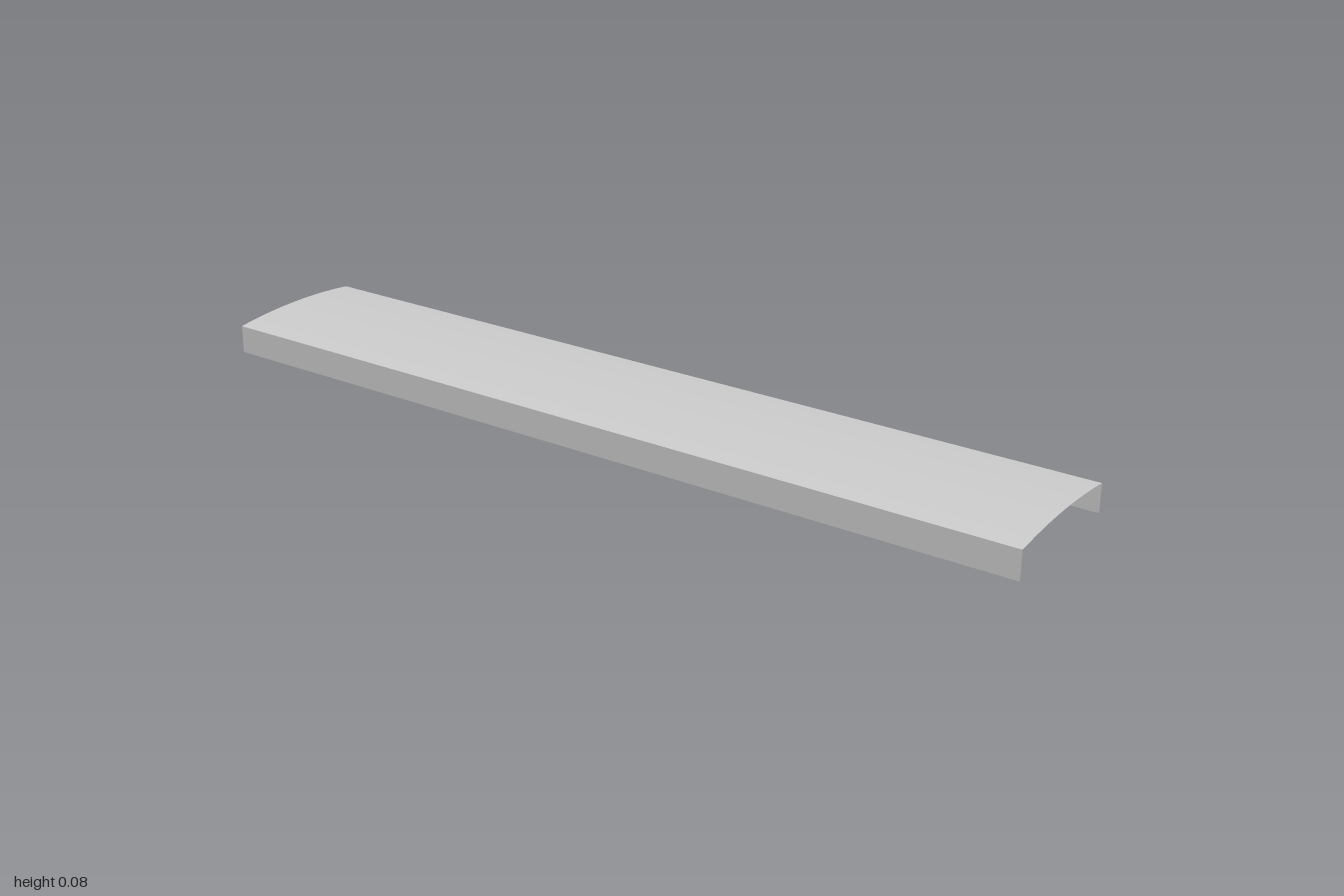
import * as THREE from 'three';

const HALF = 0.177, WALL = 0.065, RISE = 0.011, LENGTH = 2;

export function createModel() {
  const group = new THREE.Group();
  group.name = 'archedChannelCover';
  const material = new THREE.MeshStandardMaterial({ color: 0xcccccc, side: THREE.DoubleSide });

  // Shallow arched top: an open slice of a cylinder running along z
  const radius = (HALF * HALF + RISE * RISE) / (2 * RISE);
  const angle = Math.asin(HALF / radius);
  const arch = new THREE.CylinderGeometry(radius, radius, LENGTH, 16, 1, true, -angle, 2 * angle);
  arch.rotateX(-Math.PI / 2); // the slice's +z middle now points up
  const top = new THREE.Mesh(arch, material);
  top.name = 'archedTop';
  top.position.y = WALL + RISE - radius;
  group.add(top);

  // Thin upright side walls
  for (const side of [-1, 1]) {
    const wall = new THREE.Mesh(new THREE.PlaneGeometry(LENGTH, WALL), material);
    wall.name = side > 0 ? 'leftWall' : 'rightWall';
    wall.rotation.y = side * Math.PI / 2;
    wall.position.set(side * HALF, WALL / 2, 0);
    group.add(wall);
  }
  return group;
}
